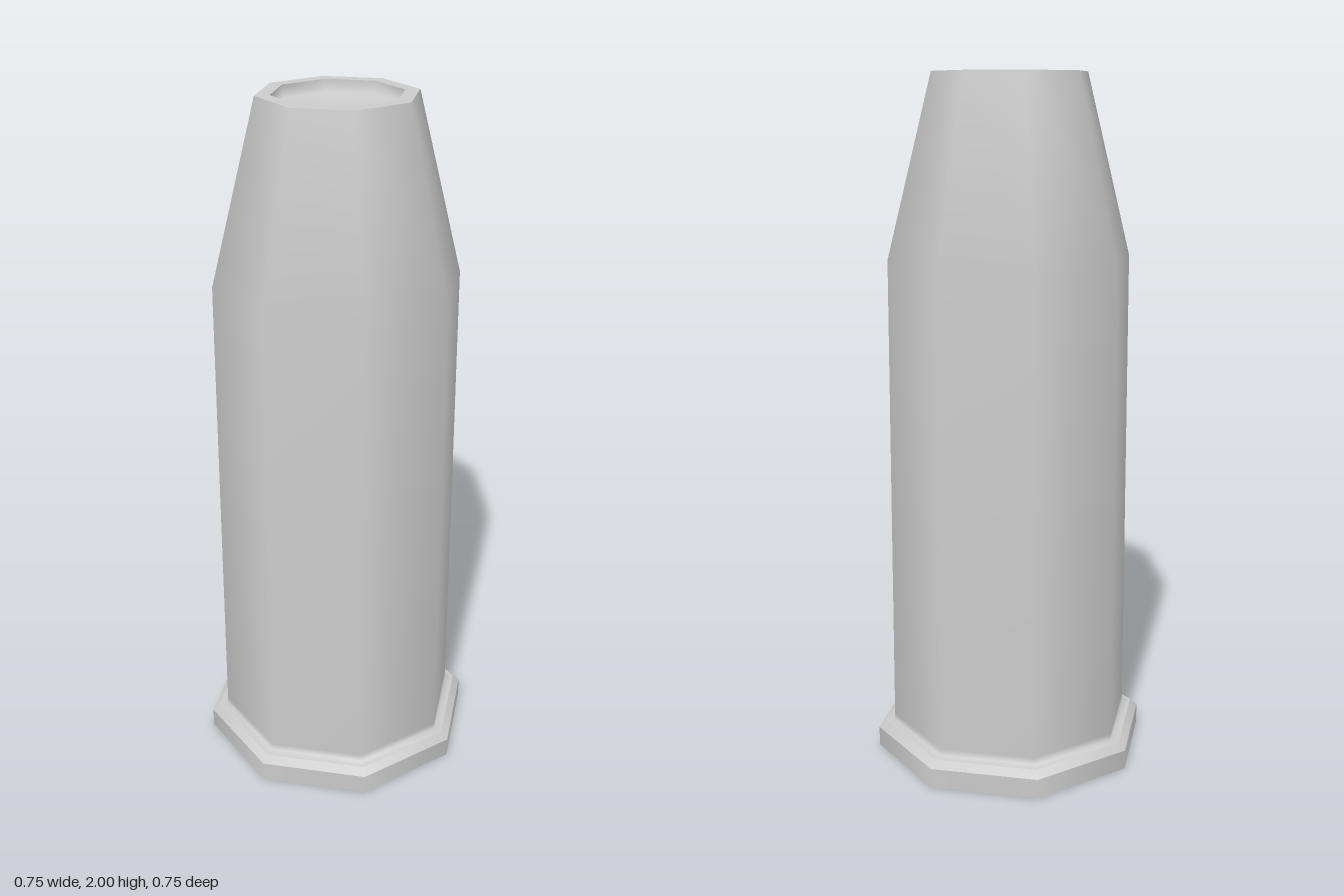
import * as THREE from 'three';

// Eight-sided lathe with flats facing the axes; profile radii are measured to the flats.
function octagonLathe(name, profile, material) {
  const k = 1 / Math.cos(Math.PI / 8);
  const points = profile.map(([r, y]) => new THREE.Vector2(r * k, y));
  const mesh = new THREE.Mesh(new THREE.LatheGeometry(points, 8, Math.PI / 8), material);
  mesh.name = name;
  return mesh;
}

export function createModel() {
  const group = new THREE.Group();
  group.name = 'taperedCasing';
  const grey = new THREE.MeshStandardMaterial({ color: 0xcccccc });

  // Profiles run bottom to top on the outside, separated where edges are sharp
  const parts = {
    baseCap: [[0, 0], [0.377, 0]],
    baseFlange: [[0.377, 0], [0.377, 0.058]],
    flangeBevel: [[0.377, 0.058], [0.357, 0.078]],
    // ledge blending into the long body, then the tapered nose
    body: [[0.357, 0.078], [0.333, 0.08], [0.332, 0.1], [0.325, 1.485], [0.205, 2]],
    topRim: [[0.205, 2], [0.167, 2]],
    // shallow dish sunk into the top
    topRecess: [[0.167, 2], [0.165, 1.965], [0, 1.96]],
  };
  for (const [name, profile] of Object.entries(parts)) {
    group.add(octagonLathe(name, profile, grey));
  }
  return group;
}
